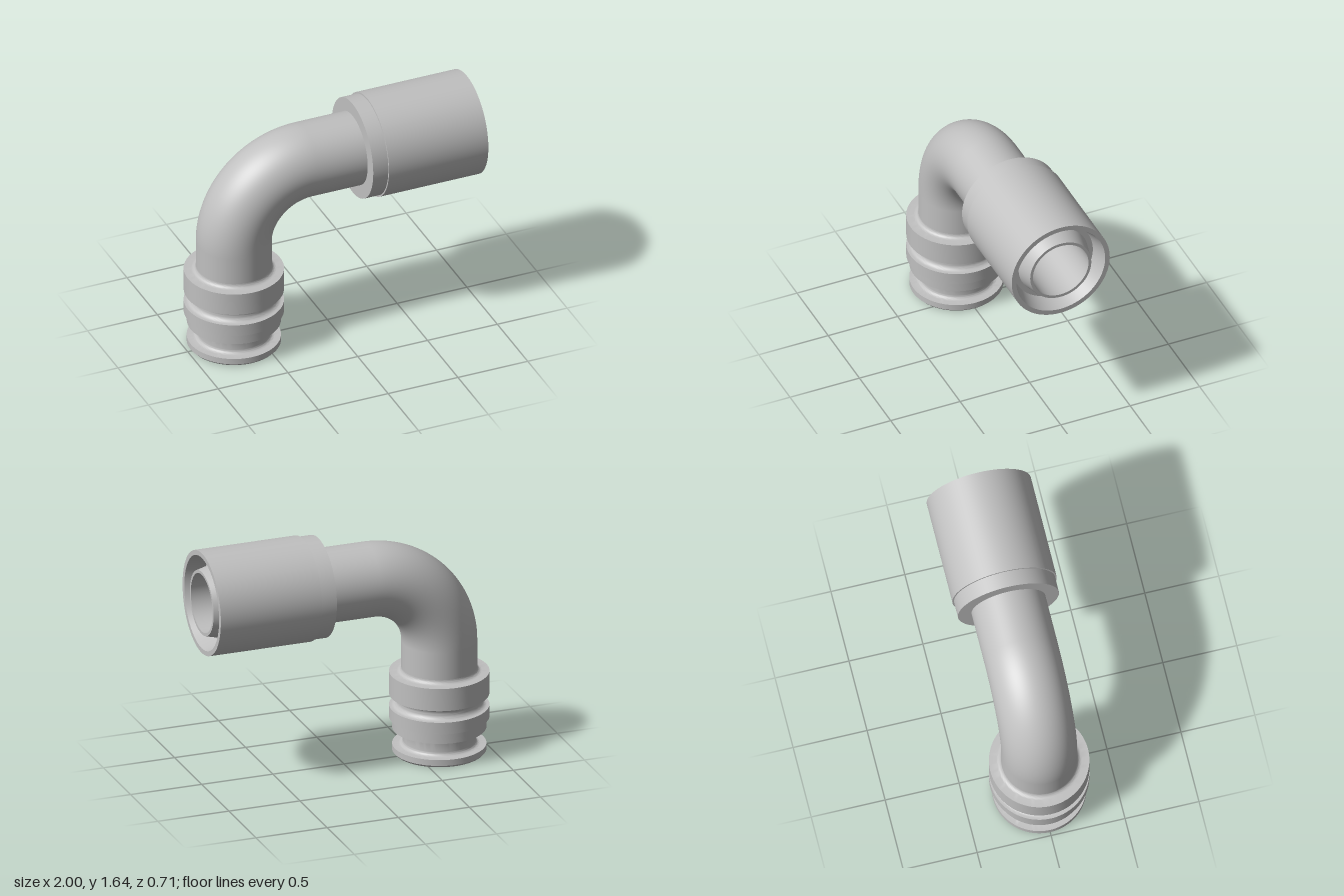
import * as THREE from 'three';
import { toCreasedNormals } from 'three/addons/utils/BufferGeometryUtils.js';

const PIPE = 0.25, BORE = 0.2, BEND = 0.5;
const AXIS_X = -0.67, AXIS_Y = 1.285;               // vertical and horizontal pipe axes
const BEND_X = AXIS_X + BEND, BEND_Y = AXIS_Y - BEND; // centre of the elbow

export function createModel() {
  const group = new THREE.Group();
  const grey = new THREE.MeshStandardMaterial({ color: 0xc0c0c0, side: THREE.DoubleSide });
  grey.name = 'light grey';

  const add = (name, geometry, x, y) => {
    const mesh = new THREE.Mesh(geometry, grey);
    mesh.name = name;
    mesh.position.set(x, y, 0);
    group.add(mesh);
  };
  // turned part with sharp edges kept; points are [radius, height]
  const turned = (points) => toCreasedNormals(
    new THREE.LatheGeometry(points.map(([r, h]) => new THREE.Vector2(r, h)), 96), 0.5);
  // points along an elliptical arc, for fillets and grooves
  const arc = (r, h, a, b, from, to, n = 8) => Array.from({ length: n + 1 }, (_, i) => {
    const t = THREE.MathUtils.degToRad(from + (to - from) * i / n);
    return [r + a * Math.cos(t), h + b * Math.sin(t)];
  });
  const tube = (radius, from, to) =>
    new THREE.CylinderGeometry(radius, radius, to - from, 96, 1, true).translate(0, (from + to) / 2, 0);

  // grooved plug at the bottom
  add('plugFitting', turned([
    [BORE, 0.012], [0.208, 0], [0.297, 0], [0.31, 0.014], [0.31, 0.055],
    ...arc(0.268, 0.083, 0.028, 0.028, 270, 180),
    ...arc(0.268, 0.142, 0.028, 0.028, 180, 90),
    [0.31, 0.17], [0.31, 0.245], [0.33, 0.245], [0.33, 0.328],
    ...arc(0.315, 0.369, 0.035, 0.041, 270, 90, 16),
    [0.33, 0.41], [0.33, 0.567],
    ...arc(0.28, 0.597, 0.03, 0.03, 270, 180),
  ]), AXIS_X, 0);

  // straight pipes, elbow and the bore running through them
  add('lowerPipe', tube(PIPE, 0.597, BEND_Y), AXIS_X, 0);
  add('lowerBore', tube(BORE, 0.012, BEND_Y), AXIS_X, 0);
  add('upperPipe', tube(PIPE, BEND_X, 0.18).rotateZ(-Math.PI / 2), 0, AXIS_Y);
  add('upperBore', tube(BORE, BEND_X, 1).rotateZ(-Math.PI / 2), 0, AXIS_Y);
  for (const [name, radius] of [['elbow', PIPE], ['elbowBore', BORE]]) {
    add(name, new THREE.TorusGeometry(BEND, radius, 96, 48, Math.PI / 2).rotateZ(Math.PI / 2), BEND_X, BEND_Y);
  }

  // collar and sleeve with a tapered ring recess around the inner nozzle
  add('sleeve', turned([
    [PIPE, 0.18], [0.342, 0.18], [0.342, 0.288], [0.353, 0.288], [0.353, 1],
    [0.32, 1], [0.285, 0.88], [PIPE, 0.88], [0.22, 1], [BORE, 1],
  ]).rotateZ(-Math.PI / 2), 0, AXIS_Y);

  return group;
}
